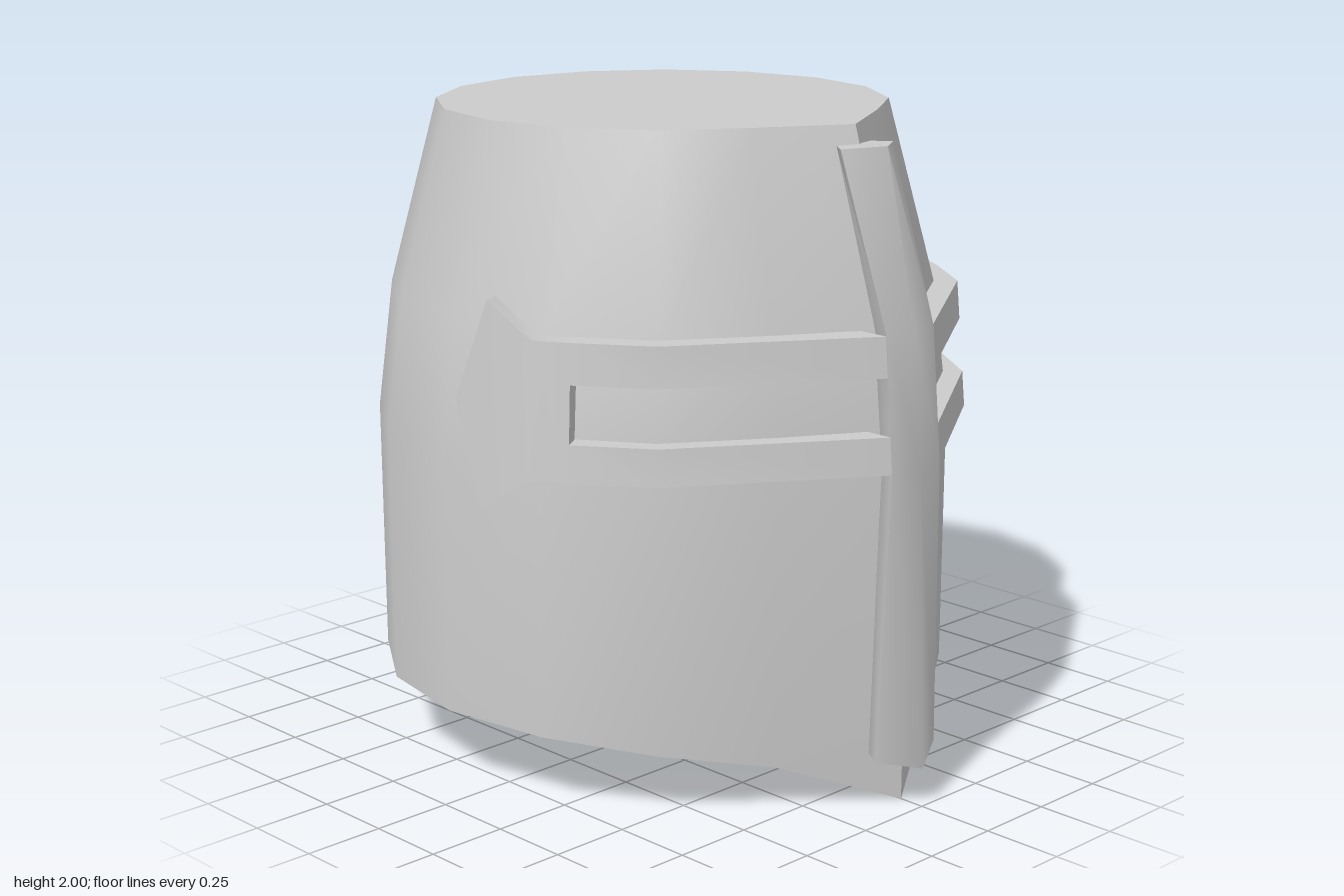
import * as THREE from 'three';
import { toCreasedNormals } from 'three/addons/utils/BufferGeometryUtils.js';

const material = new THREE.MeshStandardMaterial({ color: 0xcccccc });

// Closed solid through rings of equal point count; winding is fixed by its signed volume
function loft(name, rings, crease = 0.6) {
  const n = rings[0].length, last = (rings.length - 1) * n, tris = [];
  const pts = rings.flat().map(p => new THREE.Vector3(...p));
  for (let r = 0; r < last; r += n) {
    for (let i = 0; i < n; i++) {
      const a = r + i, b = r + (i + 1) % n;
      tris.push([a, b, b + n], [a, b + n, a + n]);
    }
  }
  for (let i = 1; i < n - 1; i++) tris.push([0, i + 1, i], [last, last + i, last + i + 1]);

  let volume = 0;
  const cross = new THREE.Vector3();
  for (const [a, b, c] of tris) volume += pts[a].dot(cross.crossVectors(pts[b], pts[c]));
  const index = tris.flatMap(t => (volume < 0 ? [t[0], t[2], t[1]] : t));

  const geometry = new THREE.BufferGeometry().setFromPoints(pts);
  geometry.setIndex(index);
  const mesh = new THREE.Mesh(toCreasedNormals(geometry, crease), material);
  mesh.name = name;
  return mesh;
}

// Sixteen-sided plan with the front corner drawn out to a keel
const CENTRE_Z = -0.103;
function planRing(radius, height) {
  return Array.from({ length: 16 }, (_, i) => {
    const angle = i * Math.PI / 8;
    const r = radius * (i === 0 ? 1.145 : 1);
    const y = typeof height === 'function' ? height(i) : height;
    return [r * Math.sin(angle), y, CENTRE_Z + r * Math.cos(angle)];
  });
}

// Lower rim dips towards the front corner
const DIP = [0, 0.14, 0.2, 0.232];
const rimHeight = i => DIP[Math.min(i, 16 - i)] ?? 0.24;

// Visor plates lean inwards with height around the helmet's axis
function lean([x, z], y) {
  const f = 1 + (1.22 - y) * 0.085;
  return [x * f, y, CENTRE_Z + (z - CENTRE_Z) * f];
}

// Plate following columns of { outer, inner, low, high }
function plate(name, columns, side) {
  return loft(name, columns.map(({ outer, inner, low, high }) =>
    [lean(outer, low), lean(outer, high), lean(inner, high), lean(inner, low)]
      .map(([x, y, z]) => [side * x, y, z])));
}

export function createModel() {
  const helmet = new THREE.Group();
  helmet.name = 'helmet';

  // Shell: inner ceiling, inner wall, rim, outer wall and flat crown
  helmet.add(loft('shell', [
    planRing(0.74, 0.39),
    planRing(0.74, i => rimHeight(i) + 0.005),
    planRing(0.892, rimHeight),
    planRing(0.895, 1.03),
    planRing(0.845, 1.43),
    planRing(0.694, 2),
  ]));

  // Ridged strip, flattest where it crosses the visor:
  // height, half width, z of ridge, edge and back, edge offset in y
  const strip = [
    [0.12, 0.13, 1.0, 0.93, 0.865, 0.035],
    [1.03, 0.105, 0.964, 0.947, 0.865, 0],
    [1.43, 0.102, 0.932, 0.914, 0.835, 0],
    [1.95, 0.112, 0.815, 0.737, 0.685, -0.006],
  ];
  helmet.add(loft('frontStrip', strip.map(([y, w, ridge, edge, back, dy]) => [
    [0, y + dy, ridge - 0.115],
    [w - 0.04, y + dy, back],
    [w, y + dy, edge],
    [0, y, ridge],
    [-w, y + dy, edge],
    [-w + 0.04, y + dy, back],
  ]), 1.15));

  // Visor band: two rails around each eye slot and a pointed end plate
  const start = { outer: [0.1, 0.93], inner: [0.1, 0.83] };
  const bend = { outer: [0.66, 0.56], inner: [0.6, 0.48] };
  const slotEnd = { outer: [0.805, 0.354], inner: [0.74, 0.31] };
  const endColumns = [
    { ...slotEnd, low: 1.03, high: 1.43 },
    { outer: [0.866, 0.254], inner: [0.803, 0.215], low: 1.03, high: 1.43 },
    { outer: [0.893, 0.085], inner: [0.84, 0.06], low: 0.92, high: 1.525 },
    { outer: [0.895, -0.035], inner: [0.85, -0.06], low: 1.219, high: 1.221 },
  ];
  for (const side of [1, -1]) {
    const visor = new THREE.Group();
    visor.name = side > 0 ? 'leftVisor' : 'rightVisor';
    const rail = (name, low, high) =>
      plate(name, [start, bend, slotEnd].map(c => ({ ...c, low, high })), side);
    visor.add(rail('upperRail', 1.31, 1.43));
    visor.add(rail('lowerRail', 1.03, 1.14));
    visor.add(plate('endPlate', endColumns, side));
    helmet.add(visor);
  }
  return helmet;
}
